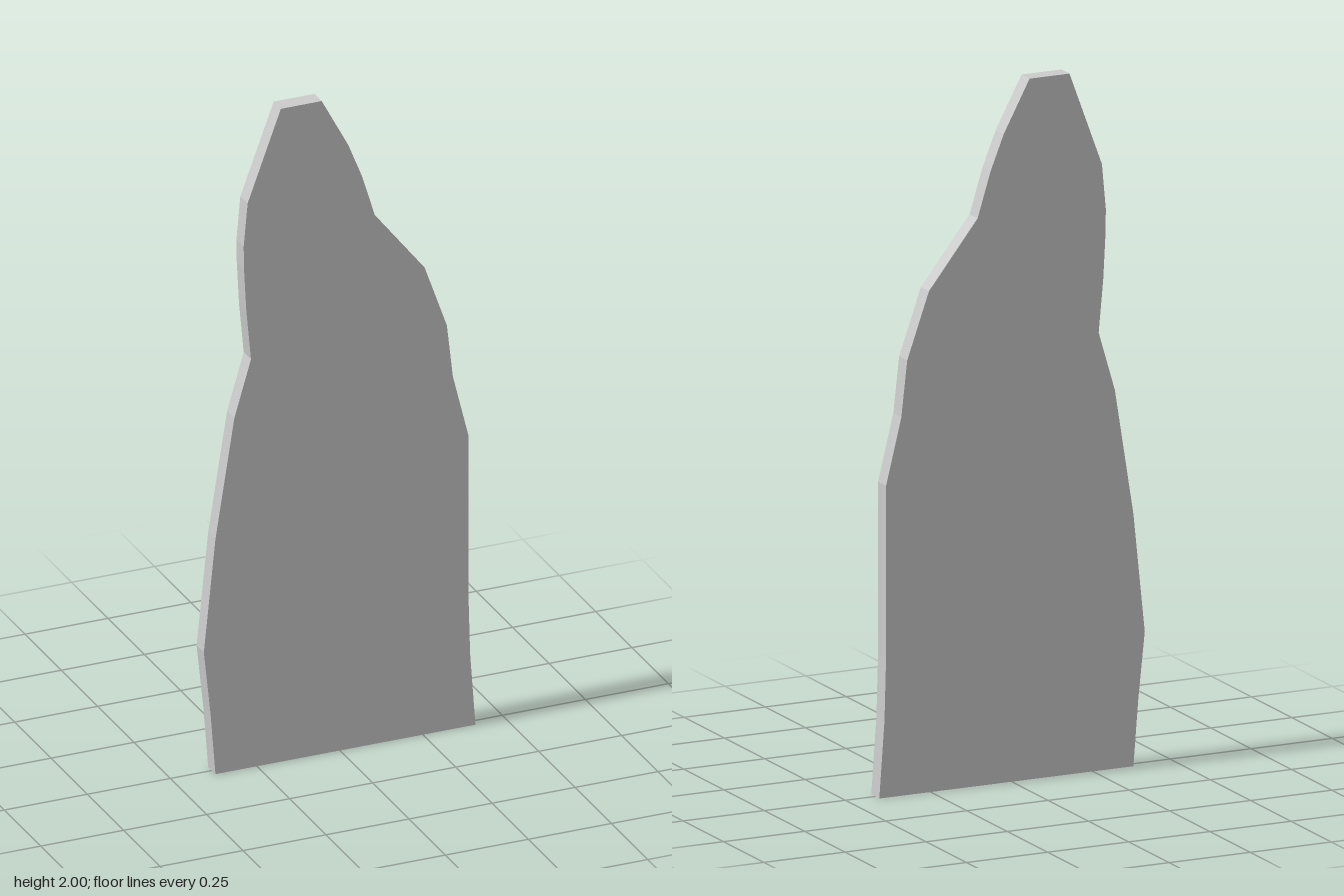
import * as THREE from 'three';

export function createModel() {
  const group = new THREE.Group();
  group.name = 'slab';

  // Outline of the flat panel, counter-clockwise from the bottom left
  const outline = [
    [-0.375, 0], [0.408, 0], [0.392, 0.22], [0.387, 0.4], [0.387, 0.89],
    [0.34, 1.08], [0.322, 1.24], [0.255, 1.43], [0.105, 1.62], [0.065, 1.75],
    [0.025, 1.85], [-0.055, 2], [-0.178, 2], [-0.278, 1.73], [-0.29, 1.6],
    [-0.289, 1.53], [-0.282, 1.4], [-0.268, 1.25], [-0.318, 1.08],
    [-0.375, 0.72], [-0.41, 0.38], [-0.39, 0.19],
  ].map(([x, y]) => new THREE.Vector2(x, y));

  // Panel of even thickness, centred on z = 0
  const depth = 0.05;
  const geometry = new THREE.ExtrudeGeometry(new THREE.Shape(outline), {
    depth, bevelEnabled: false,
  });
  geometry.translate(0, 0, -depth / 2);

  const panel = new THREE.Mesh(
    geometry,
    new THREE.MeshStandardMaterial({ color: 0xcccccc, flatShading: true }),
  );
  panel.name = 'panel';
  group.add(panel);
  return group;
}
